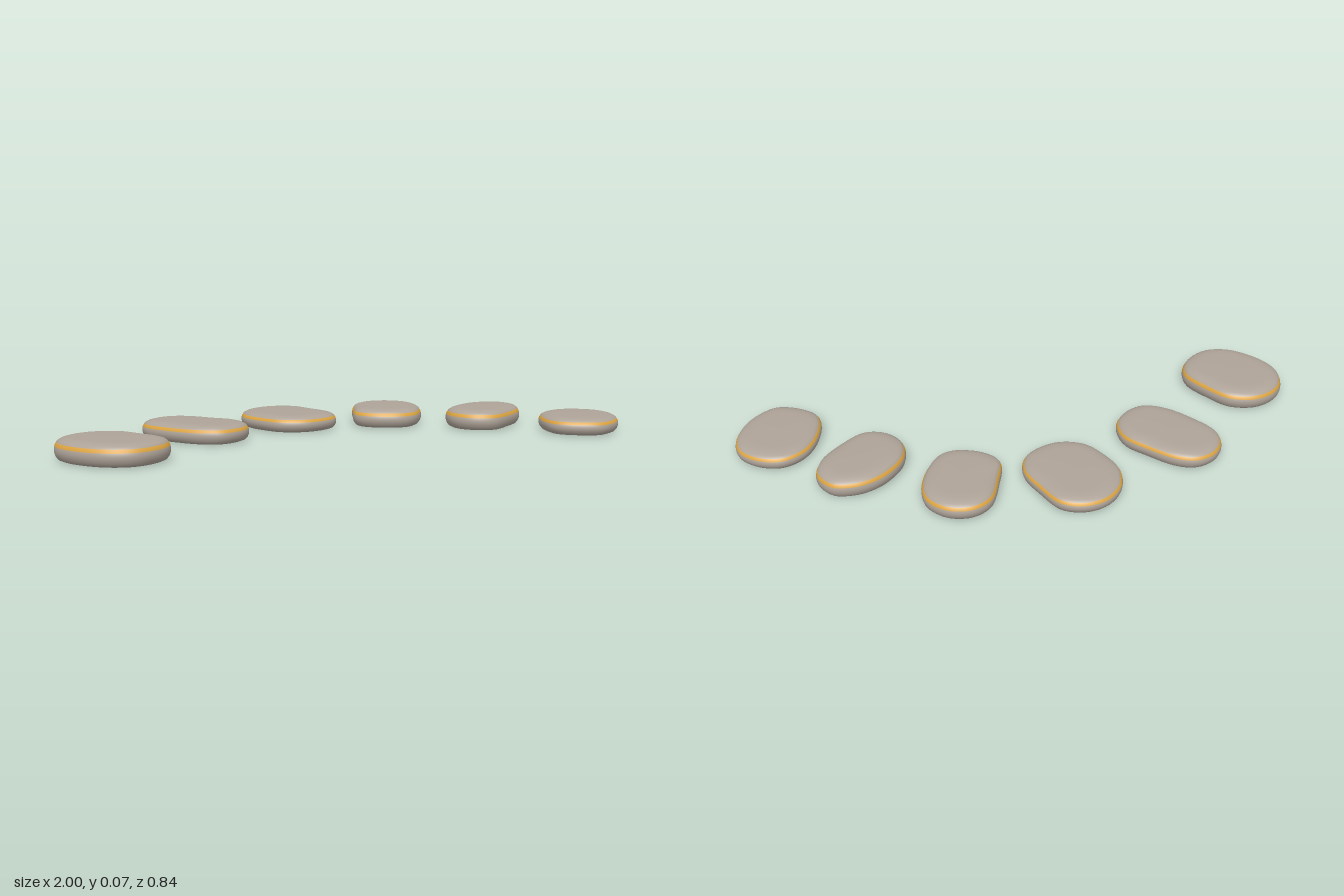
import * as THREE from 'three';

const stoneMat = new THREE.MeshStandardMaterial({ color: 0xaea398 });
stoneMat.name = 'warm grey stone';
const bandMat = new THREE.MeshStandardMaterial({ color: 0xdca440 });
bandMat.name = 'gold band';

// Height and plan outline (x, z in hundredths) of each pebble, clockwise from the back
const STONES = [
  [0.072, [-85, -2, -76, 1, -70, 9, -65.5, 20, -69, 28, -79, 33.3, -88.5, 31, -97, 22, -100, 13, -98, 5, -93, 0]],
  [0.063, [-50.5, -29.5, -44, -26.5, -36.5, -18.5, -30.8, -10, -31.3, -1.5, -36.5, 4, -43.5, 6, -51, 2.5, -59, -7, -63.7, -17, -62, -24, -57, -28.5]],
  [0.058, [-7, -42, 0.5, -38.5, 5, -29, 7.7, -18.5, 4.5, -10.5, -7, -6.2, -16.5, -9.5, -21.5, -17, -24.2, -26.5, -21.5, -35.5, -15, -41]],
  [0.067, [29, -34.5, 37, -32.5, 42.5, -26, 42.7, -18.5, 39, -9.5, 33, -3, 27, -2, 18, -6, 13.8, -12, 16.5, -21, 22, -31.5]],
  [0.071, [64, -12.6, 71.5, -10.5, 75.2, -3.5, 73, 4, 65, 11.5, 55.5, 16.3, 48, 13.8, 43.6, 7, 44.7, -1, 50.5, -7.8, 57, -11.5]],
  [0.059, [85, 9, 93, 11.5, 98.7, 17.5, 99.5, 24.5, 96, 33, 90, 38.8, 83, 41.5, 74.5, 38, 69.3, 32, 70.5, 22, 76.5, 12.5]],
];

// Edge profile: inset from the outline, fraction of the height
const PROFILE = [
  [1, 0], [0.035, 0], [0.022, 0.005], [0.011, 0.07], [0.004, 0.2], [0.0005, 0.36], [0, 0.5],
  [0.002, 0.64], [0.008, 0.8], [0.018, 0.89], [0.034, 0.95], [0.05, 0.975], [0.065, 0.985], [1, 1],
];
const BAND_ROW = 7; // profile row that is painted gold
const SIDES = 72;

function pebbleGeometry(height, outline) {
  const points = [];
  for (let i = 0; i < outline.length; i += 2) {
    points.push(new THREE.Vector3(outline[i] / 100, 0, outline[i + 1] / 100));
  }
  const ring = new THREE.CatmullRomCurve3(points, true).getSpacedPoints(SIDES).slice(0, SIDES);
  const centre = ring.reduce((sum, p) => sum.add(p), new THREE.Vector3()).divideScalar(SIDES);

  const positions = [];
  for (const [inset, y] of PROFILE) {
    for (const p of ring) {
      const radius = p.distanceTo(centre);
      const s = Math.max(0, 1 - inset / radius);
      positions.push(centre.x + (p.x - centre.x) * s, y * height, centre.z + (p.z - centre.z) * s);
    }
  }

  const geometry = new THREE.BufferGeometry();
  const index = [];
  for (let row = 0; row < PROFILE.length - 1; row++) {
    geometry.addGroup(index.length, SIDES * 6, row === BAND_ROW ? 1 : 0);
    for (let i = 0; i < SIDES; i++) {
      const a = row * SIDES + i;
      const b = row * SIDES + (i + 1) % SIDES;
      const c = a + SIDES;
      const d = b + SIDES;
      index.push(a, c, d, a, d, b);
    }
  }
  geometry.setAttribute('position', new THREE.Float32BufferAttribute(positions, 3));
  geometry.setIndex(index);
  geometry.computeVertexNormals();
  return geometry;
}

export function createModel() {
  const model = new THREE.Group();
  model.name = 'steppingStones';
  STONES.forEach(([height, outline], i) => {
    const stone = new THREE.Mesh(pebbleGeometry(height, outline), [stoneMat, bandMat]);
    stone.name = `steppingStone${i + 1}`;
    model.add(stone);
  });
  return model;
}
